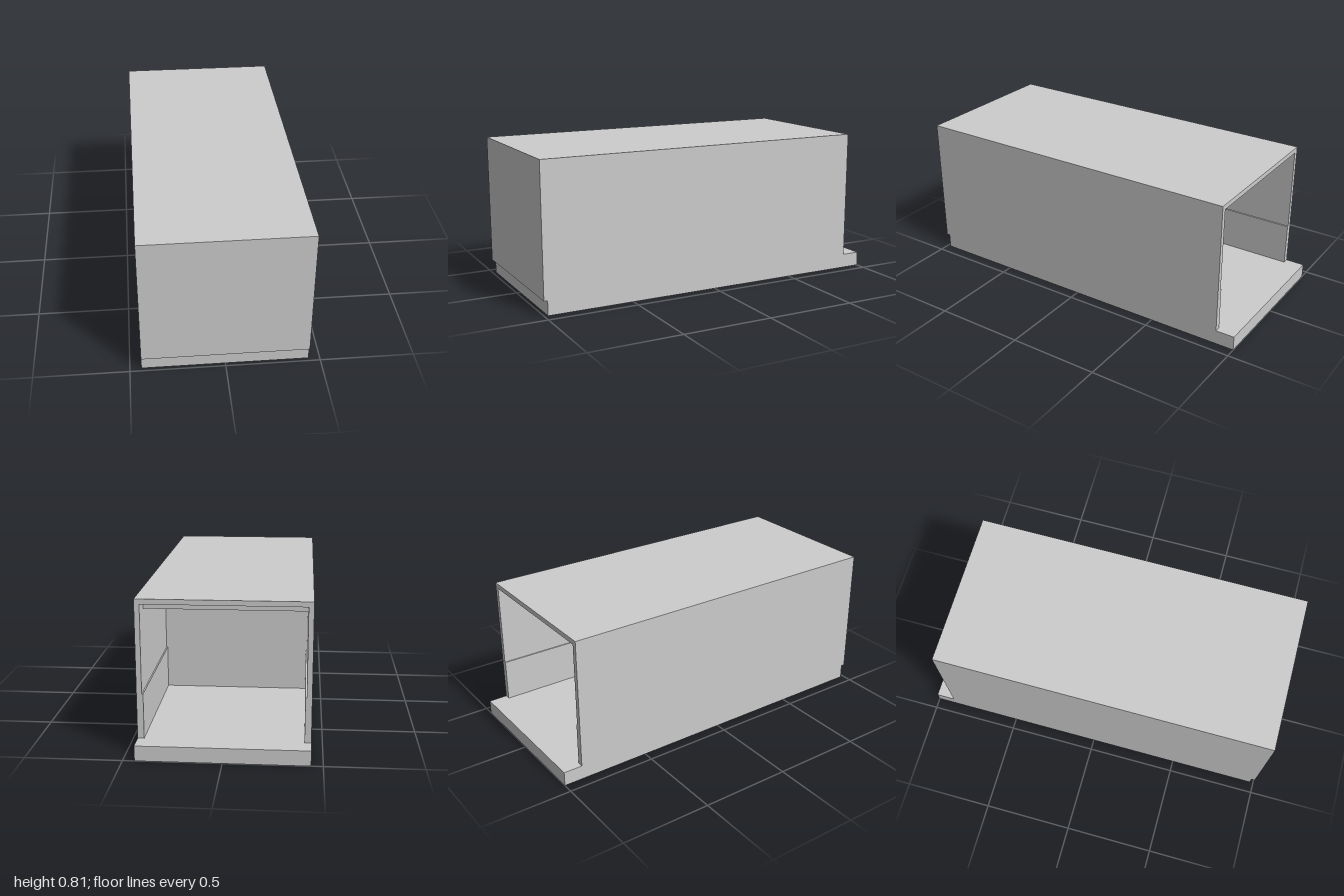
import * as THREE from 'three';

export function createModel() {
  const model = new THREE.Group();
  model.name = 'cargoBox';
  const paleGrey = new THREE.MeshStandardMaterial({ color: 0xcccccc });
  paleGrey.name = 'paleGrey';

  // Box given by its min and max corners
  const box = (name, [x0, y0, z0], [x1, y1, z1]) => {
    const mesh = new THREE.Mesh(new THREE.BoxGeometry(x1 - x0, y1 - y0, z1 - z0), paleGrey);
    mesh.position.set((x0 + x1) / 2, (y0 + y1) / 2, (z0 + z1) / 2);
    mesh.name = name;
    model.add(mesh);
  };

  const W = 0.44, FLOOR = 0.08, TOP = 0.806, T = 0.027;
  const BACK = -0.895, FRONT = 1, KICK = 0.317;
  const inner = W - T, ceiling = TOP - T;

  // Floor slab, sticking out at the open back and set in at the front
  box('floor', [-W, 0, -1], [W, FLOOR, 0.98]);

  // Shell: roof, front wall and side walls
  box('roof', [-W, ceiling, BACK], [W, TOP, FRONT]);
  box('frontWall', [-W, FLOOR, FRONT - T], [W, ceiling, FRONT]);
  for (const [side, s] of [['left', 1], ['right', -1]]) {
    const span = (a, b) => (s > 0 ? [a, b] : [-b, -a]);
    const [a, b] = span(inner, W);
    box(side + 'Wall', [a, FLOOR, BACK], [b, ceiling, FRONT - T]);
    // Thicker lower lining
    const [c, d] = span(inner - 0.007, inner);
    box(side + 'Lining', [c, FLOOR, BACK], [d, KICK, FRONT - T]);
  }

  // Inner partition across the hold
  box('partition', [-inner, FLOOR, -0.05], [inner, ceiling, -0.02]);

  // Cross beams under the roof
  for (let i = 0; i < 8; i++) {
    const z = -0.785 + i * 0.221;
    box('roofBeam' + (i + 1), [-inner, ceiling - 0.048, z], [inner, ceiling, z + 0.045]);
  }
  return model;
}
